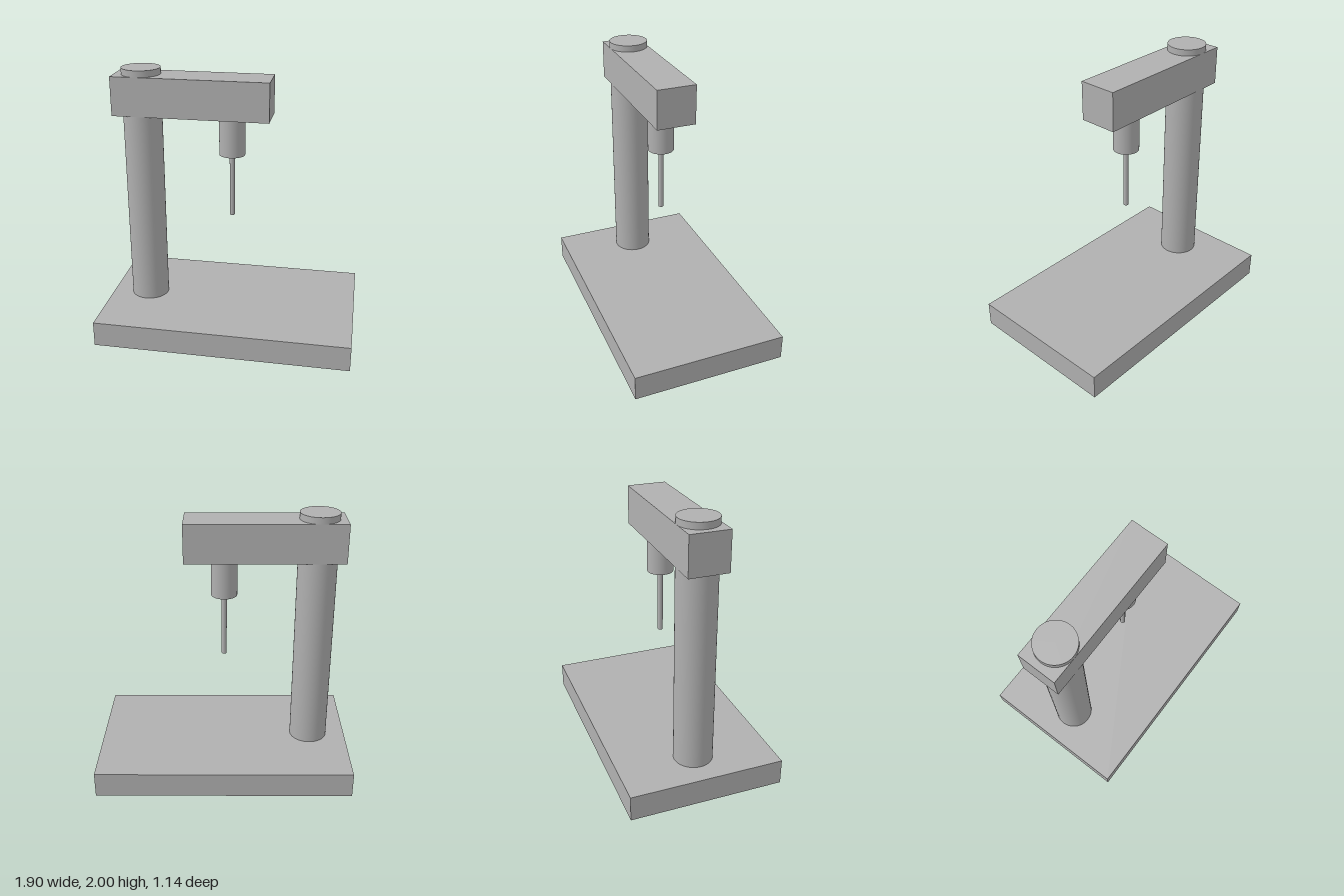
import * as THREE from 'three';

const U = 2 / 21; // one design unit; the machine is 21 units tall

export function createModel() {
  const model = new THREE.Group();
  model.name = 'drillPress';
  const grey = new THREE.MeshStandardMaterial({ color: 0xb0b0b0 });
  grey.name = 'grey';

  const add = (name, geometry, x, y) => {
    const mesh = new THREE.Mesh(geometry, grey);
    mesh.name = name;
    mesh.position.set(x * U, y * U, 0);
    model.add(mesh);
  };
  // Both helpers stand the part on its lower end
  const box = (name, w, h, d, x, bottom) =>
    add(name, new THREE.BoxGeometry(w * U, h * U, d * U), x, bottom + h / 2);
  const cylinder = (name, r, h, x, bottom) =>
    add(name, new THREE.CylinderGeometry(r * U, r * U, h * U, 64), x, bottom + h / 2);

  // Base plate, column and overhanging arm
  box('base', 20, 2, 12, 0, 0);
  cylinder('column', 1.5, 19, -7, 2);
  box('arm', 12, 3, 3, -3, 17.5);

  // Drill head hanging below the arm
  cylinder('chuck', 1, 3, 0, 14.5);
  cylinder('drillBit', 0.2, 5, 0, 9.5);

  return model;
}
